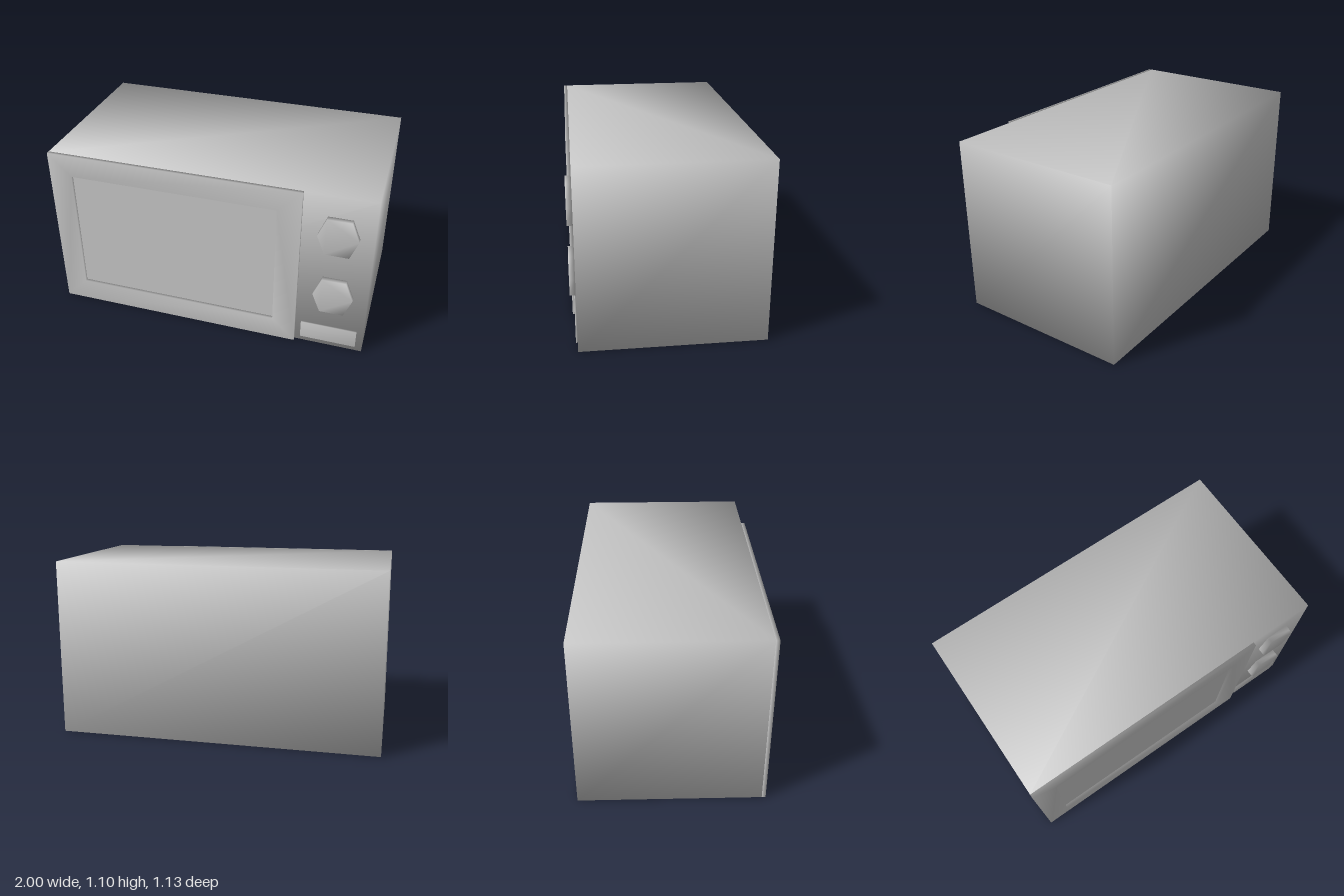
import * as THREE from 'three';
import { mergeVertices } from 'three/addons/utils/BufferGeometryUtils.js';

const material = new THREE.MeshStandardMaterial({ color: 0xcccccc });

// Shares corner vertices so the shading runs smoothly over the edges
function soften(geometry) {
  geometry.deleteAttribute('normal');
  geometry.deleteAttribute('uv');
  const merged = mergeVertices(geometry);
  merged.computeVertexNormals();
  return merged;
}

// Box given by its limits on each axis
function box(x0, x1, y0, y1, z0, z1) {
  const g = new THREE.BoxGeometry(x1 - x0, y1 - y0, z1 - z0);
  return g.translate((x0 + x1) / 2, (y0 + y1) / 2, (z0 + z1) / 2);
}

function rectangle(PathType, x0, x1, y0, y1) {
  const corners = [[x0, y0], [x1, y0], [x1, y1], [x0, y1]];
  return new PathType(corners.map(([x, y]) => new THREE.Vector2(x, y)));
}

function extrude(shape, z0, z1) {
  const g = new THREE.ExtrudeGeometry(shape, { depth: z1 - z0, bevelEnabled: false });
  return g.translate(0, 0, z0);
}

export function createModel() {
  const group = new THREE.Group();
  const add = (name, geometry) => {
    const mesh = new THREE.Mesh(geometry, material);
    mesh.name = name;
    group.add(mesh);
    return mesh;
  };

  const front = 0.53;
  const doorFront = 0.553;

  // Oven casing, its front also forming the control panel
  add('casing', soften(box(-1, 1, 0, 1.095, -0.563, front)));

  // Door frame with a window opening
  const frame = rectangle(THREE.Shape, -1, 0.577, 0, 1.095);
  frame.holes.push(rectangle(THREE.Path, -0.855, 0.433, 0.145, 0.953));
  add('doorFrame', soften(extrude(frame, front, doorFront)));

  // Recessed flat window
  add('doorWindow', box(-0.855, 0.433, 0.145, 0.953, front - 0.01, front + 0.003));

  // Two six-sided knobs
  const knobOutline = [[0.12, 0], [0.072, 0.12], [-0.072, 0.12], [-0.12, 0], [-0.072, -0.12], [0.072, -0.12]];
  const knobShape = new THREE.Shape(knobOutline.map(([x, y]) => new THREE.Vector2(x, y)));
  [['upperKnob', 0.835], ['lowerKnob', 0.408]].forEach(([name, y]) => {
    add(name, soften(extrude(knobShape, front, 0.564))).position.set(0.795, y, 0);
  });

  // Door release button
  add('releaseButton', soften(box(0.613, 0.959, 0.035, 0.153, front, front + 0.01)));

  return group;
}
